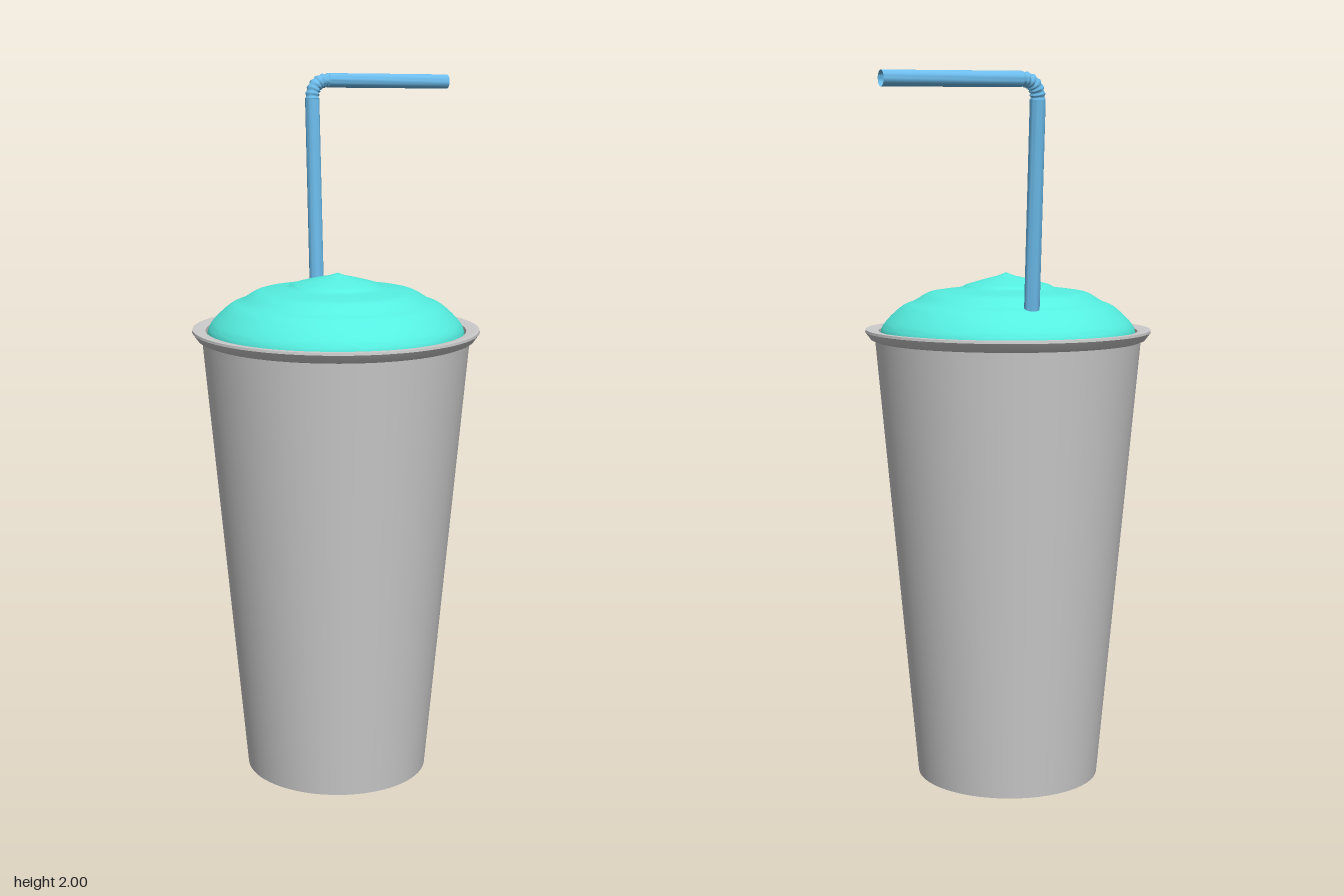
import * as THREE from 'three';
import { toCreasedNormals } from 'three/addons/utils/BufferGeometryUtils.js';

const CENTRE_X = -0.03; // the cup stands a little off centre
const OVAL = 0.968; // and is slightly narrower in x than in z

const points = (list) => list.map(([r, y]) => new THREE.Vector2(r, y));

function turned(name, profile, color, crease) {
  const geometry = toCreasedNormals(new THREE.LatheGeometry(profile, 72), crease);
  const mesh = new THREE.Mesh(geometry, new THREE.MeshStandardMaterial({ color, side: THREE.DoubleSide }));
  mesh.name = name;
  mesh.position.x = CENTRE_X;
  mesh.scale.x = OVAL;
  return mesh;
}

// Open tube along a curve whose radius follows a rule of t (0..1)
function tube(name, curve, segments, radiusAt, material) {
  const geometry = new THREE.TubeGeometry(curve, segments, 1, 20, false);
  const position = geometry.attributes.position;
  const p = new THREE.Vector3();
  for (let i = 0; i < position.count; i++) {
    const t = Math.floor(i / 21) / segments;
    const centre = curve.getPointAt(t);
    p.fromBufferAttribute(position, i).sub(centre).multiplyScalar(radiusAt(t)).add(centre);
    position.setXYZ(i, p.x, p.y, p.z);
  }
  const mesh = new THREE.Mesh(toCreasedNormals(geometry, 0.7), material);
  mesh.name = name;
  return mesh;
}

export function createModel() {
  const model = new THREE.Group();
  model.name = 'slushDrink';

  // Tapered cup with a flared lip and an inner wall
  model.add(turned('cup', points([
    [0, 0], [0.269, 0], [0.389, 1.265], [0.402, 1.27], [0.418, 1.291], [0.417, 1.298],
    [0.404, 1.299], [0.379, 1.294], [0.375, 1.26], [0.262, 0.03], [0, 0.03],
  ]), 0xcccccc, 0.6));

  // Domed slush with soft swirled steps and a small peak
  const dome = new THREE.SplineCurve(points([
    [0.372, 1.24], [0.373, 1.29], [0.355, 1.322], [0.31, 1.362], [0.275, 1.377], [0.235, 1.4],
    [0.2, 1.407], [0.14, 1.415], [0.12, 1.424], [0.06, 1.44], [0.025, 1.448], [0, 1.457],
  ]));
  const slush = turned('slush', dome.getPoints(48), 0x55eee0, 1.2);
  // Lean the very tip towards the front
  const position = slush.geometry.attributes.position;
  for (let i = 0; i < position.count; i++) {
    const r = Math.hypot(position.getX(i), position.getZ(i));
    position.setZ(i, position.getZ(i) + 0.018 * Math.max(0, 1 - r / 0.1));
  }
  model.add(slush);

  // Bent straw: upright, ribbed elbow, long mouthpiece
  const straw = new THREE.Group();
  straw.name = 'straw';
  const blue = new THREE.MeshStandardMaterial({ color: 0x6cbcec, side: THREE.DoubleSide });
  const foot = new THREE.Vector3(-0.008, 1.25, -0.27);
  const elbowStart = new THREE.Vector3(-0.008, 1.925, -0.323);
  const corner = new THREE.Vector3(-0.006, 1.977, -0.33);
  const elbowEnd = new THREE.Vector3(0.042, 1.977, -0.335);
  const mouth = new THREE.Vector3(0.43, 1.97, -0.384);
  const radius = 0.021;
  straw.add(tube('strawUpright', new THREE.LineCurve3(foot, elbowStart), 1, () => radius, blue));
  straw.add(tube('strawElbow', new THREE.QuadraticBezierCurve3(elbowStart, corner, elbowEnd), 48,
    (t) => radius + 0.0015 * Math.cos(t * 12 * Math.PI) - 0.0015, blue));
  straw.add(tube('strawMouthpiece', new THREE.LineCurve3(elbowEnd, mouth), 1, () => radius, blue));
  model.add(straw);

  return model;
}
